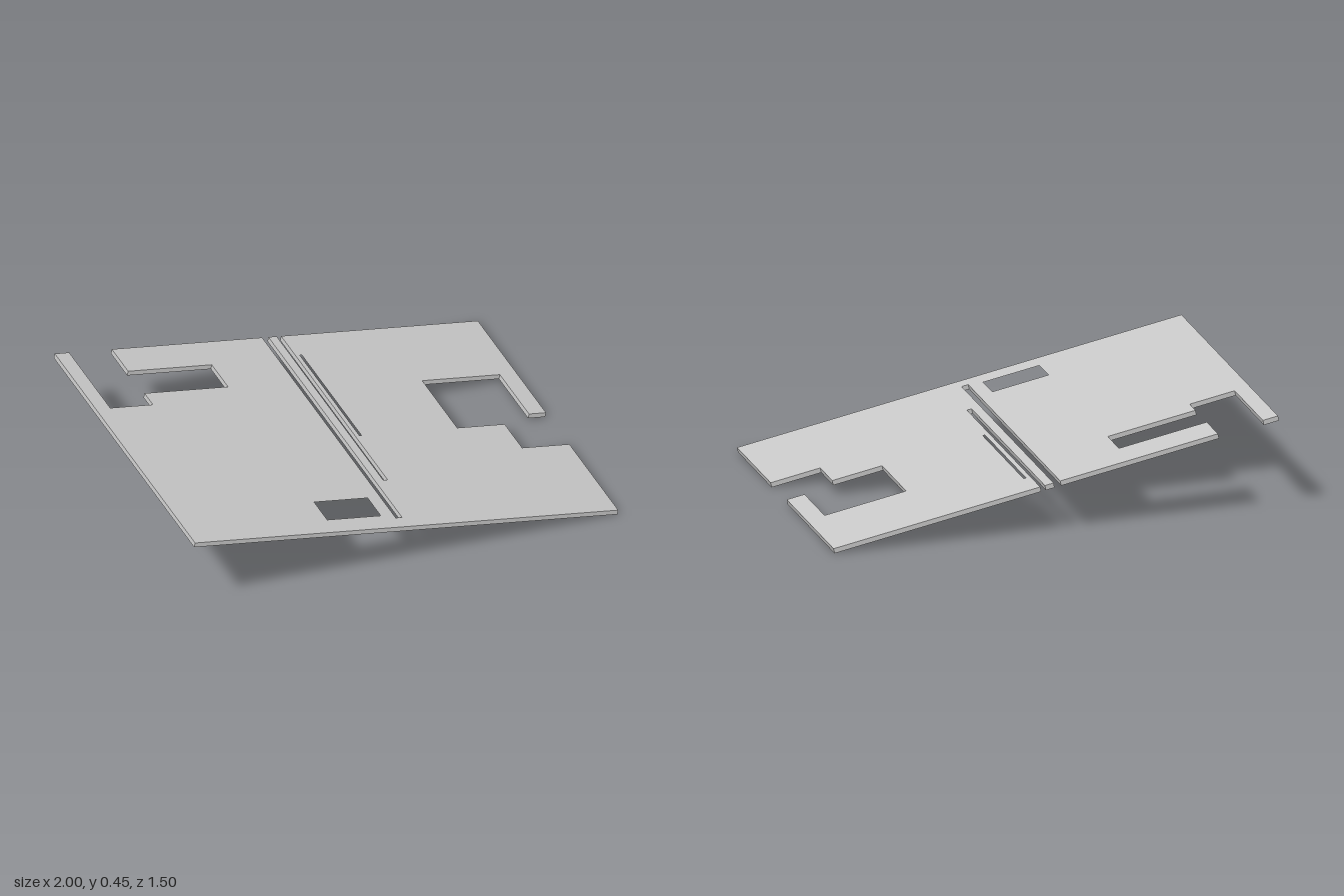
import * as THREE from 'three';

const TILT = THREE.MathUtils.degToRad(12);
const THICK = 0.022;
const LENGTH = (2 - THICK * Math.sin(TILT)) / Math.cos(TILT);
const HALF_DEPTH = 0.748;

// plan x measured level -> distance along the sloping slab
const along = ([x, z]) => new THREE.Vector2(x * LENGTH / 2, z);

const rectangle = (x0, x1, z0, z1) =>
  new THREE.Path([[x0, z0], [x0, z1], [x1, z1], [x1, z0]].map(along));

export function createModel() {
  const group = new THREE.Group();
  const d = HALF_DEPTH;

  // Outline with the stepped notches and the two slots open at the back edge
  const outline = new THREE.Shape([
    [-1, -d], [-1, d], [1, d],
    // stepped notch in the low edge
    [1, 0.227], [0.777, 0.227], [0.777, 0.04], [0.553, 0.04],
    [0.553, -0.333], [0.92, -0.333], [0.92, -0.022], [1, -0.022],
    [1, -d],
    // short slot
    [0.07, -d], [0.07, 0.387], [0.049, 0.387], [0.049, -d],
    // long slot
    [0.01, -d], [0.01, 0.677], [-0.02, 0.677], [-0.02, -d],
    // stepped notch in the back edge
    [-0.73, -d], [-0.73, -0.574], [-0.335, -0.574], [-0.335, -0.4],
    [-0.73, -0.4], [-0.73, -0.31], [-0.932, -0.31], [-0.932, -d],
  ].map(along));

  // Window and narrow closed slit
  outline.holes.push(
    rectangle(-0.333, -0.08, 0.512, 0.652),
    rectangle(0.09, 0.1, -0.594, 0.04),
  );

  const geometry = new THREE.ExtrudeGeometry(outline, { depth: THICK, bevelEnabled: false });
  geometry.translate(0, 0, -THICK / 2);
  geometry.rotateX(Math.PI / 2);

  const slab = new THREE.Mesh(geometry, new THREE.MeshStandardMaterial({ color: 0xcccccc }));
  slab.name = 'slopingFloorSlab';
  slab.rotation.z = -TILT;
  slab.position.y = (LENGTH * Math.sin(TILT) + THICK * Math.cos(TILT)) / 2;
  group.add(slab);
  return group;
}
